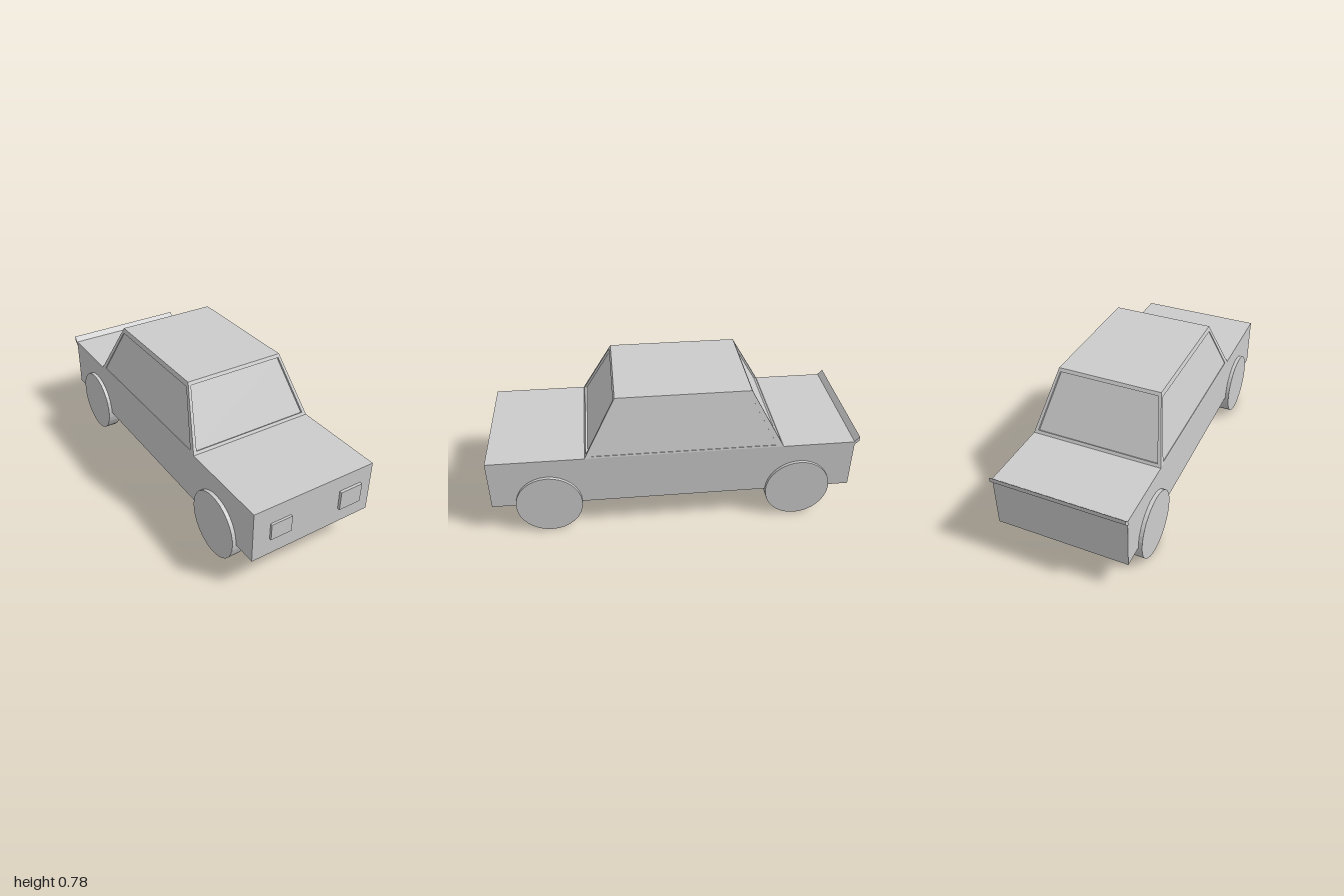
import * as THREE from 'three';

const grey = new THREE.MeshStandardMaterial({ color: 0xcccccc });
grey.name = 'light grey';

function add(parent, name, geometry, x = 0, y = 0, z = 0) {
  const mesh = new THREE.Mesh(geometry, grey);
  mesh.name = name;
  mesh.position.set(x, y, z);
  parent.add(mesh);
  return mesh;
}

// Flat-shaded geometry from four-cornered faces, corners counterclockwise from outside
function quads(faces) {
  const points = faces.flatMap(([a, b, c, d]) => [a, b, c, a, c, d]);
  const geometry = new THREE.BufferGeometry().setFromPoints(points);
  geometry.computeVertexNormals();
  return geometry;
}

// Window wall: a frame around a sunken pane. Corners: bottom left, bottom right, top right, top left
function windowWall(corners, u, v0, v1, depth) {
  const [bl, br, tr, tl] = corners;
  const at = (s, t) => bl.clone().lerp(br, s).lerp(tl.clone().lerp(tr, s), t);
  const inward = br.clone().sub(bl).cross(tl.clone().sub(bl)).normalize().multiplyScalar(-depth);
  const rim = [at(u, v0), at(1 - u, v0), at(1 - u, v1), at(u, v1)];
  const pane = rim.map((p) => p.clone().add(inward));
  const frame = [], reveal = [];
  for (let i = 0; i < 4; i++) {
    const j = (i + 1) % 4;
    frame.push([corners[i], corners[j], rim[j], rim[i]]);
    reveal.push([rim[i], rim[j], pane[j], pane[i]]);
  }
  return { frame: quads([...frame, ...reveal]), pane: quads([pane]) };
}

export function createModel() {
  const car = new THREE.Group();
  car.name = 'car';

  // Lower body
  add(car, 'body', new THREE.BoxGeometry(0.712, 0.285, 1.96), 0.001, 0.3195, 0.005);

  // Tapered cabin with sunken windows on all four sides
  const cabin = new THREE.Group();
  cabin.name = 'cabin';
  car.add(cabin);
  const ring = (x, y, back, front) => [
    [-x, front], [x, front], [x, back], [-x, back],
  ].map(([px, pz]) => new THREE.Vector3(px + 0.001, y, pz));
  const base = ring(0.356, 0.462, -0.585, 0.472);
  const top = ring(0.281, 0.777, -0.408, 0.3);
  add(cabin, 'roof', quads([top]));
  ['windscreen', 'leftWindow', 'rearWindow', 'rightWindow'].forEach((name, i) => {
    const j = (i + 1) % 4;
    const side = i % 2 === 1;
    const wall = windowWall([base[i], base[j], top[j], top[i]],
      side ? 0.03 : 0.026, side ? 0.03 : 0.048, side ? 0.915 : 0.946, side ? 0.004 : 0.012);
    add(cabin, name + 'Frame', wall.frame);
    add(cabin, name, wall.pane);
  });

  // Wheels
  const wheel = new THREE.CylinderGeometry(0.178, 0.178, 0.07, 32).rotateZ(Math.PI / 2).toNonIndexed();
  wheel.computeVertexNormals();
  for (const [end, z] of [['front', 0.678], ['rear', -0.682]]) {
    add(car, end + 'LeftWheel', wheel, 0.339, 0.18, z);
    add(car, end + 'RightWheel', wheel, -0.34, 0.18, z);
  }

  // Headlights
  add(car, 'leftHeadlight', new THREE.BoxGeometry(0.131, 0.108, 0.03), 0.2225, 0.319, 0.985);
  add(car, 'rightHeadlight', new THREE.BoxGeometry(0.12, 0.091, 0.026), -0.198, 0.3185, 0.984);

  // Slanted lip along the tail
  const lip = new THREE.Shape([[0.973, 0.437], [1.0, 0.465], [1.0, 0.49], [0.973, 0.461]]
    .map(([x, y]) => new THREE.Vector2(x, y)));
  const spoiler = new THREE.ExtrudeGeometry(lip, { depth: 0.71, bevelEnabled: false })
    .translate(0, 0, -0.355).rotateY(Math.PI / 2);
  add(car, 'spoiler', spoiler, -0.002);

  return car;
}
